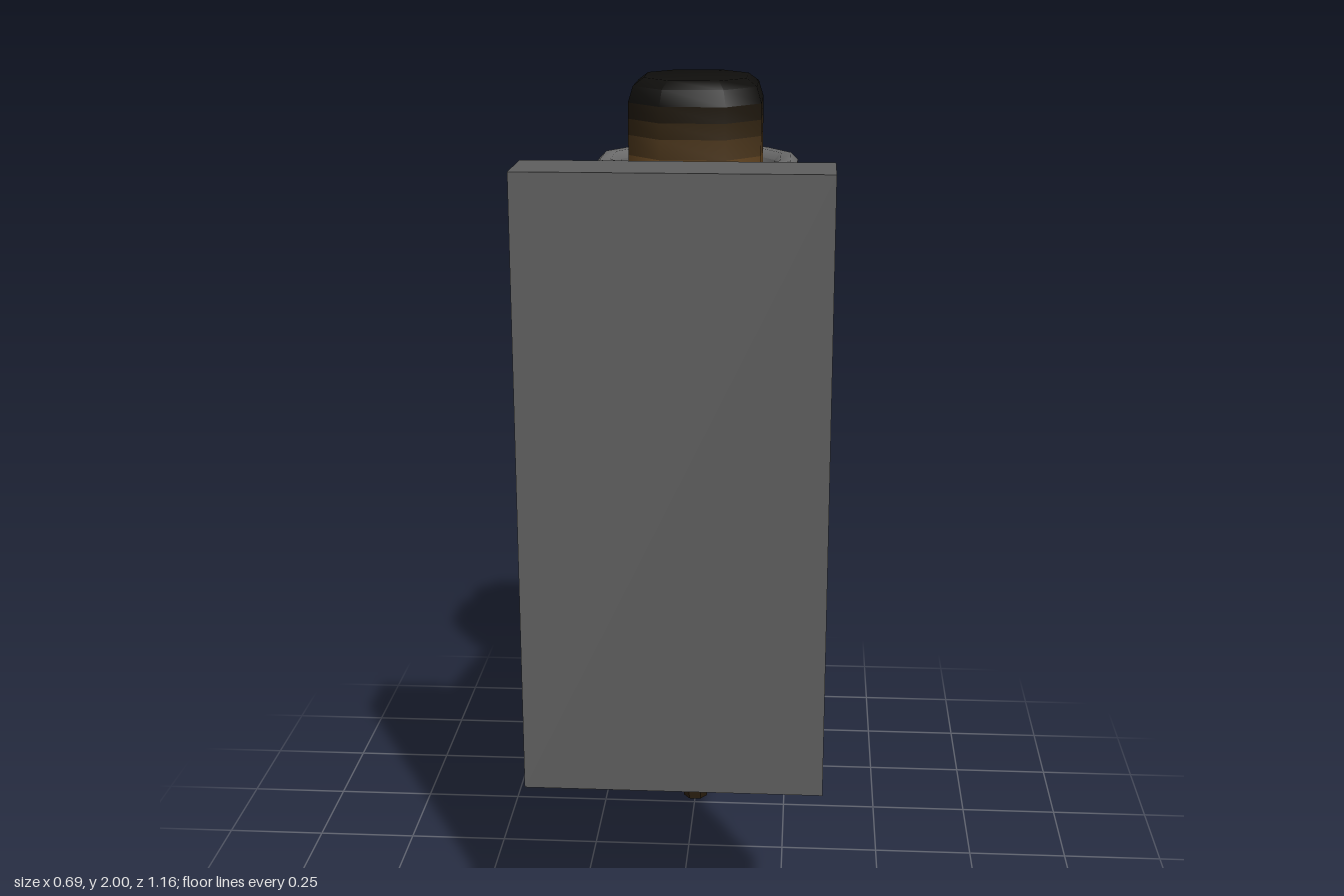
import * as THREE from 'three';
import { toCreasedNormals } from 'three/addons/utils/BufferGeometryUtils.js';

const TORCH_Z = -0.315;
const iron = new THREE.MeshStandardMaterial({ color: 0x6c6c6c });
const plateIron = new THREE.MeshStandardMaterial({ color: 0x5e5e5e });

function part(name, geometry, material) {
  const mesh = new THREE.Mesh(geometry, material);
  mesh.name = name;
  return mesh;
}

// Turned shape around the torch axis; rule(x, z) returns the adjusted [x, z]
function turned(name, profile, sides, turn, rule, material) {
  const points = profile.map(([r, y]) => new THREE.Vector2(r, y));
  const geometry = new THREE.LatheGeometry(points, sides, turn);
  const p = geometry.attributes.position;
  for (let i = 0; i < p.count; i++) {
    const [x, z] = rule(p.getX(i), p.getZ(i));
    p.setX(i, x);
    p.setZ(i, z);
  }
  const mesh = part(name, toCreasedNormals(geometry, 0.9), material);
  mesh.position.z = TORCH_Z;
  return mesh;
}

// Wooden section: octagon with wide flats, slightly narrower across x
function torchSection(name, color, profile) {
  const k = Math.cos(Math.PI / 8);
  const rule = (x, z) => {
    const half = Math.hypot(x, z) * k;
    if (half < 0.01) return [x, z];
    const narrow = 1 - 0.013 / half;
    return Math.abs(x) < Math.abs(z) ? [x * 1.18 * narrow, z] : [x * narrow, z * 1.18];
  };
  const rings = profile.map(([r, y]) => [r / k, y]);
  return turned(name, rings, 8, Math.PI / 8, rule, new THREE.MeshStandardMaterial({ color }));
}

// Twelve-sided band with softened rims
function ring(name, inner, outer, bottom, top, turn, rule) {
  const b = 0.018;
  const profile = [
    [inner + b, bottom], [outer - b, bottom], [outer, bottom + b], [outer, top - b],
    [outer - b, top], [inner + b, top], [inner, top - b], [inner, bottom + b], [inner + b, bottom],
  ];
  return turned(name, profile, 12, turn, rule, iron);
}

// Rectangle with cut corners, anticlockwise seen from the front
function section(half, bottom, top, z, cut) {
  return [
    [-half + cut, bottom], [half - cut, bottom], [half, bottom + cut], [half, top - cut],
    [half - cut, top], [-half + cut, top], [-half, top - cut], [-half, bottom + cut],
  ].map(([x, y]) => [x, y, z]);
}

// Arm skinned from the plate end to the ring end, both ends buried
function arm(name, base, end) {
  const corners = [];
  for (let i = 0; i < 8; i++) {
    const j = (i + 1) % 8;
    corners.push(base[i], end[i], end[j], base[i], end[j], base[j]);
  }
  const geometry = new THREE.BufferGeometry();
  geometry.setAttribute('position', new THREE.Float32BufferAttribute(corners.flat(), 3));
  return part(name, toCreasedNormals(geometry, 0.9), iron);
}

export function createModel() {
  const group = new THREE.Group();
  group.name = 'wallTorch';

  // Mounting plate
  const plate = part('wallPlate', new THREE.BoxGeometry(0.694, 1.434, 0.18), plateIron);
  plate.position.set(0, 1.167, 0.492);
  group.add(plate);

  // Upper bracket, its ring slightly longer along z with wide flats
  const wideFlats = (x, z) => [
    x * (Math.abs(x) < Math.abs(z) / 2 ? 1.17 : 1),
    z * (Math.abs(z) < Math.abs(x) / 2 ? 1.25 : 1.03),
  ];
  group.add(
    arm('upperArm', section(0.167, 1.44, 1.797, 0.41, 0.004), section(0.09, 1.62, 1.797, -0.075, 0.016)),
    ring('upperRing', 0.204, 0.267, 1.62, 1.797, Math.PI / 12, wideFlats)
  );

  // Lower bracket
  group.add(
    arm('lowerArm', section(0.167, 0.545, 0.9, 0.41, 0.004), section(0.08, 0.72, 0.9, -0.15, 0.016)),
    ring('lowerRing', 0.14, 0.192, 0.72, 0.9, 0, (x, z) => [x, z])
  );

  // Torch in colour bands: dark foot, warm middle, charred top
  const stops = [
    [0.045, 0, 0x2a1e0f], [0.06, 0.25, 0x302211], [0.0747, 0.5, 0x3a2914],
    [0.089, 0.74, 0x463218], [0.1105, 0.88, 0x523a1b], [0.135, 1.15, 0x5e4220],
    [0.1575, 1.4, 0x6a4a24], [0.18, 1.65, 0x664722], [0.18, 1.81, 0x4a351b],
    [0.18, 1.86, 0x332512], [0.18, 1.9, 0x1f180e], [0.18, 1.94],
  ];
  for (let i = 0; i < stops.length - 1; i++) {
    const [r, y, color] = stops[i];
    const profile = [[r, y], stops[i + 1].slice(0, 2)];
    if (i === 0) profile.unshift([0, 0]);
    group.add(torchSection(`torchBand${i + 1}`, color, profile));
  }
  group.add(torchSection('charredTip', 0x0f0e0c, [[0.18, 1.94], [0.168, 1.98], [0.142, 2], [0, 2]]));
  return group;
}
